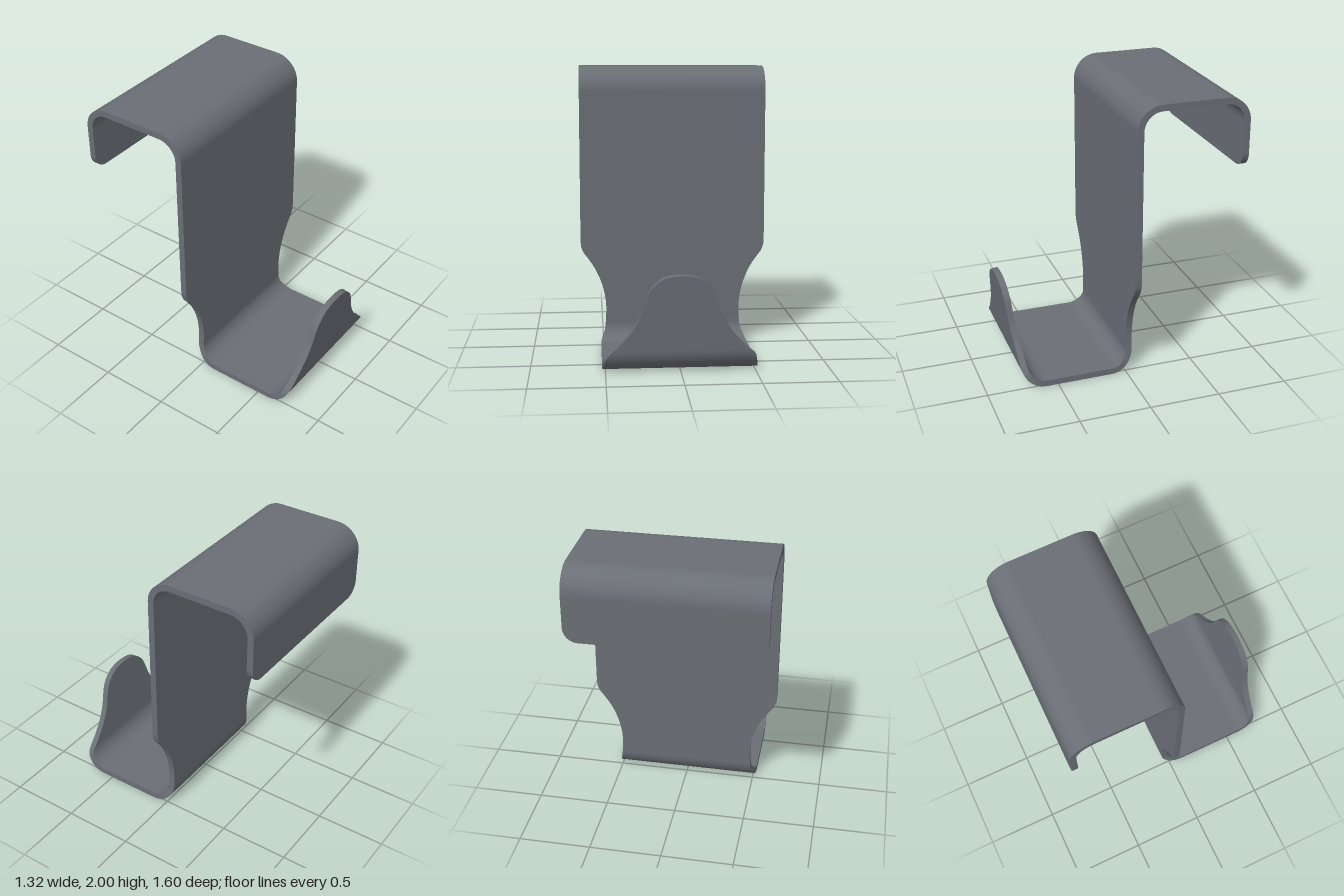
import * as THREE from 'three';
import { toCreasedNormals } from 'three/addons/utils/BufferGeometryUtils.js';

const T = 0.044; // sheet thickness
const V = (x, y) => new THREE.Vector2(x, y);

// Half width against height, from a smooth curve through a few points
function widthProfile(points) {
  const pts = new THREE.SplineCurve(points.map(([y, w]) => V(y, w))).getPoints(160);
  return (y) => {
    if (y <= pts[0].x) return pts[0].y;
    for (let i = 1; i < pts.length; i++) {
      if (y <= pts[i].x) {
        const k = (y - pts[i - 1].x) / Math.max(pts[i].x - pts[i - 1].x, 1e-6);
        return THREE.MathUtils.lerp(pts[i - 1].y, pts[i].y, k);
      }
    }
    return pts[pts.length - 1].y;
  };
}

const lipWidth = widthProfile([[0.022, 0.52], [0.06, 0.513], [0.12, 0.49], [0.2, 0.405], [0.3, 0.322],
  [0.4, 0.267], [0.5, 0.235], [0.56, 0.212], [0.61, 0.172], [0.645, 0.122], [0.66, 0.075], [0.667, 0.025]]);
const neckWidth = widthProfile([[0.022, 0.52], [0.06, 0.508], [0.12, 0.489], [0.25, 0.48], [0.35, 0.487],
  [0.45, 0.511], [0.55, 0.553], [0.62, 0.597], [0.68, 0.642], [0.72, 0.657], [0.77, 0.66]]);

function halfWidth(z, y) {
  if (z > 0.4) return lipWidth(y);
  if (z > -0.2 && y < 1) return neckWidth(y);
  if (z < -0.7 && y < 1.6) { // rounded lower corners of the back flange
    const r = 0.1, d = Math.min(1.5 + r - y, r);
    return 0.66 - r + Math.sqrt(r * r - d * d);
  }
  return 0.66;
}

// Centre line in (z, y) with filleted bends; each row keeps its direction
function bentPath(corners) {
  const rows = [];
  let start = V(corners[0][0], corners[0][1]);
  for (let i = 1; i < corners.length; i++) {
    const [z, y, r] = corners[i];
    const p = V(z, y);
    const dir = p.clone().sub(start).normalize();
    let end = p, turn = 0;
    if (r) {
      const next = V(corners[i + 1][0], corners[i + 1][1]).sub(p).normalize();
      turn = Math.atan2(dir.cross(next), dir.dot(next));
      end = p.clone().addScaledVector(dir, -r * Math.tan(Math.abs(turn) / 2));
    }
    // straight run, rows closer together at both ends
    for (let k = i === 1 ? 0 : 1; k <= 56; k++) {
      rows.push({ p: start.clone().lerp(end, (1 - Math.cos(Math.PI * k / 56)) / 2), dir });
    }
    if (!r) break;
    // bend
    const s = Math.sign(turn);
    const centre = end.clone().add(V(-dir.y, dir.x).multiplyScalar(s * r));
    for (let k = 1; k <= 16; k++) {
      const a = turn * k / 16;
      rows.push({
        p: end.clone().rotateAround(centre, a),
        dir: dir.clone().rotateAround(V(0, 0), a),
      });
    }
    start = rows[rows.length - 1].p;
  }
  return rows;
}

// Rectangular cross-section swept along the rows
function sheetGeometry(rows) {
  const pos = [], index = [];
  rows.forEach(({ p, dir }, i) => {
    const w = halfWidth(p.x, p.y);
    const nz = -dir.y * T / 2, ny = dir.x * T / 2;
    for (const [sx, sn] of [[-1, 1], [1, 1], [1, -1], [-1, -1]]) {
      pos.push(sx * w, p.y + sn * ny, p.x + sn * nz);
    }
    if (i === 0) return;
    for (let k = 0; k < 4; k++) {
      const a = (i - 1) * 4 + k, b = (i - 1) * 4 + (k + 1) % 4;
      index.push(a, a + 4, b, b, a + 4, b + 4);
    }
  });
  const e = (rows.length - 1) * 4;
  index.push(0, 1, 2, 0, 2, 3, e, e + 2, e + 1, e, e + 3, e + 2); // end caps
  const geo = new THREE.BufferGeometry();
  geo.setAttribute('position', new THREE.Float32BufferAttribute(pos, 3));
  geo.setIndex(index);
  return toCreasedNormals(geo, 0.6);
}

export function createModel() {
  const group = new THREE.Group();
  group.name = 'overDoorHook';
  // lip tip, lip bend, tray bend, top front bend, top back bend, flange end
  const rows = bentPath([
    [0.779, 0.667], [0.717, 0.022, 0.15], [-0.033, 0.022, 0.14],
    [-0.033, 1.978, 0.15], [-0.778, 1.978, 0.15], [-0.778, 1.5],
  ]);
  const material = new THREE.MeshStandardMaterial({ color: 0x6a6e75 });
  const hook = new THREE.Mesh(sheetGeometry(rows), material);
  hook.name = 'bentSheetHook';
  group.add(hook);
  return group;
}
